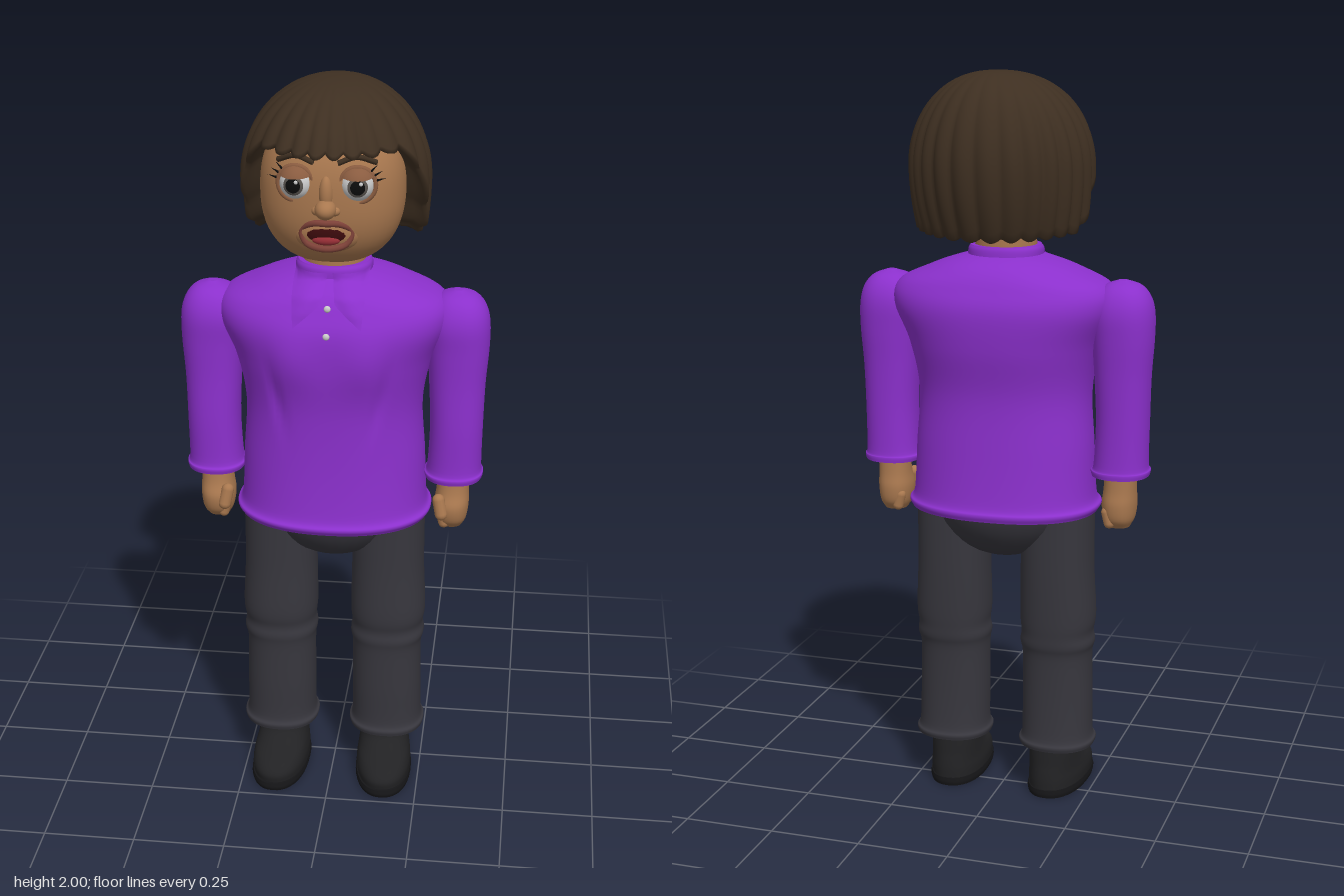
import * as THREE from 'three';

const C = {
  skin: 0xa9784f, skinDark: 0x8a5c40, shirt: 0x8b30cc, trousers: 0x37363d, shoe: 0x222224, sole: 0x151517,
  hair: 0x3e2f21, lip: 0x7d4138, mouth: 0x3a0a0c, tongue: 0x9c3038, white: 0xf0f0ee, iris: 0x5a5550, black: 0x0c0c0c,
};
const mats = {};
const mat = (k) => (mats[k] ??= new THREE.MeshStandardMaterial({ color: C[k], side: THREE.DoubleSide }));

function add(parent, name, geo, color, pos = [0, 0, 0], scale = [1, 1, 1], rot = [0, 0, 0]) {
  const m = new THREE.Mesh(geo, mat(color));
  m.name = name;
  m.position.set(...pos);
  m.scale.set(...scale);
  m.rotation.set(...rot);
  parent.add(m);
  return m;
}

// Skins a stack of closed rings (listed bottom to top)
function skinRings(rings) {
  const n = rings[0].length, idx = [];
  for (let j = 0; j < rings.length - 1; j++)
    for (let i = 0; i < n; i++) {
      const k = (i + 1) % n, a = j * n + i, b = j * n + k, c = a + n, d = b + n;
      idx.push(a, b, d, a, d, c);
    }
  const g = new THREE.BufferGeometry().setFromPoints(rings.flat());
  g.setIndex(idx);
  g.computeVertexNormals();
  return g;
}

const P = 2.25; // roundness of the oval cross-sections
const pw = (v, e) => Math.sign(v) * Math.abs(v) ** e;

// Smooth loft through rows [y, half width, front z, back z, centre x]
function loft(rows, { sx = 1, n = 40, per = 5, warp } = {}) {
  const A = new THREE.CatmullRomCurve3(rows.map((r) => new THREE.Vector3(r[0], r[1], r[4] ?? 0)), false, 'catmullrom');
  const B = new THREE.CatmullRomCurve3(rows.map((r) => new THREE.Vector3(r[2], r[3], 0)), false, 'catmullrom');
  const steps = (rows.length - 1) * per, rings = [];
  for (let j = 0; j <= steps; j++) {
    const a = A.getPoint(j / steps), b = B.getPoint(j / steps), ring = [];
    for (let i = 0; i < n; i++) {
      const t = (i / n) * Math.PI * 2;
      const p = new THREE.Vector3(
        a.z * sx + a.y * pw(Math.sin(t), 2 / P), a.x, (b.x + b.y) / 2 + ((b.x - b.y) / 2) * pw(Math.cos(t), 2 / P));
      if (warp) warp(p);
      ring.push(p);
    }
    rings.push(ring);
  }
  const cap = (ring, r) => {
    const c = new THREE.Vector3((r[4] ?? 0) * sx, ring[0].y, (r[2] + r[3]) / 2);
    return [ring.map(() => c.clone()), ring.map((p) => p.clone())];
  };
  const [c0, r0] = cap(rings[0], rows[0]), [c1, r1] = cap(rings.at(-1), rows.at(-1));
  return skinRings([c0, r0, ...rings, r1, c1]);
}

// Front z of a lofted part at x, y
function frontZ(rows, x, y) {
  let k = 0;
  while (k < rows.length - 2 && rows[k + 1][0] < y) k++;
  const t = THREE.MathUtils.clamp((y - rows[k][0]) / (rows[k + 1][0] - rows[k][0]), 0, 1);
  const [, rx, zf, zb] = rows[k].map((v, i) => v + (rows[k + 1][i] - v) * t);
  return (zf + zb) / 2 + ((zf - zb) / 2) * Math.max(0, 1 - Math.abs(x / rx) ** P) ** (1 / P);
}

const SHIRT = [
  [0.82, 0.258, 0.212, -0.182], [0.838, 0.266, 0.22, -0.187], [0.865, 0.252, 0.206, -0.176], [1.0, 0.245, 0.196, -0.165],
  [1.15, 0.237, 0.197, -0.16], [1.28, 0.262, 0.212, -0.182], [1.38, 0.305, 0.212, -0.187], [1.44, 0.292, 0.19, -0.166],
  [1.48, 0.212, 0.165, -0.14], [1.505, 0.145, 0.128, -0.105], [1.525, 0.07, 0.09, -0.05]];
const COLLAR = [[1.48, 0.115, 0.125, -0.085], [1.5, 0.102, 0.118, -0.078], [1.53, 0.1, 0.116, -0.075], [1.542, 0.094, 0.11, -0.07]];
const SLEEVE = [
  [0.93, 0.077, 0.1, -0.065, 0.325], [0.944, 0.08, 0.102, -0.066, 0.325], [0.962, 0.073, 0.094, -0.062, 0.326],
  [1.08, 0.071, 0.096, -0.062, 0.329], [1.2, 0.075, 0.094, -0.066, 0.328], [1.3, 0.082, 0.097, -0.073, 0.328],
  [1.37, 0.085, 0.1, -0.075, 0.325], [1.415, 0.074, 0.088, -0.063, 0.325], [1.445, 0.05, 0.063, -0.038, 0.325],
  [1.46, 0.012, 0.024, 0.0, 0.325]];
const LEG = [
  [0.138, 0.104, 0.126, -0.083, 0.152], [0.152, 0.107, 0.128, -0.086, 0.152], [0.172, 0.098, 0.117, -0.076, 0.152],
  [0.28, 0.097, 0.118, -0.07, 0.151], [0.4, 0.096, 0.118, -0.07, 0.15], [0.44, 0.103, 0.122, -0.078, 0.151],
  [0.47, 0.099, 0.118, -0.08, 0.151], [0.52, 0.104, 0.125, -0.083, 0.152], [0.66, 0.1, 0.12, -0.086, 0.15],
  [0.86, 0.1, 0.12, -0.086, 0.15]];
const SHOE = [
  [0.018, 0.075, 0.222, -0.08], [0.045, 0.077, 0.224, -0.08], [0.068, 0.074, 0.2, -0.078], [0.09, 0.07, 0.145, -0.075],
  [0.118, 0.067, 0.105, -0.073], [0.16, 0.066, 0.095, -0.07]];
const SOLE = [[0, 0.078, 0.23, -0.084], [0.01, 0.08, 0.233, -0.086], [0.022, 0.078, 0.23, -0.084]];
const HAND = [
  [0.785, 0.03, 0.055, -0.015, 0.322], [0.81, 0.042, 0.078, -0.035, 0.322], [0.85, 0.047, 0.085, -0.04, 0.322],
  [0.89, 0.044, 0.07, -0.034, 0.324], [0.95, 0.042, 0.06, -0.03, 0.326]];

// Bust and pleats of the shirt
function shapeShirt(p) {
  if (p.z < 0.03) return;
  const ax = Math.abs(p.x);
  const bust = Math.exp(-(((ax - 0.1) / 0.06) ** 2) - ((p.y - 1.31) / 0.08) ** 2);
  const pleat = Math.exp(-(((ax - 0.135 - (p.y - 1.2) * 0.2) / 0.014) ** 2) - ((p.y - 1.2) / 0.09) ** 2);
  p.z += 0.012 * bust - 0.01 * pleat;
}

function collarFlap(s) {
  const v = (x, y) => new THREE.Vector2(x, y);
  const [a, b, c, d] = [v(0.006, 1.53), v(0.098, 1.53), v(0.088, 1.405), v(0.018, 1.465)];
  const g = new THREE.PlaneGeometry(1, 1, 8, 10), pos = g.attributes.position;
  for (let i = 0; i < pos.count; i++) {
    const u = pos.getX(i) + 0.5, w = 0.5 - pos.getY(i);
    const q = a.clone().lerp(b, u).lerp(d.clone().lerp(c, u), w);
    const puff = 0.007 + 0.012 * Math.sin(Math.PI * u) * Math.sin(Math.PI * (0.2 + 0.8 * w));
    pos.setXYZ(i, s * q.x, q.y, Math.max(frontZ(SHIRT, q.x, q.y), frontZ(COLLAR, q.x, q.y)) + puff);
  }
  g.computeVertexNormals();
  return g;
}

// Bob of ridged locks: high fringe in front, long at the sides and back
function bobHair() {
  const n = 208, rows = 26, rings = [];
  const point = (i, v, inset, lift) => {
    const a = (i / n) * Math.PI * 2, c = Math.cos(a);
    const lock = Math.abs(Math.sin(13 * a + 0.7 * Math.sin(3 * a) + 0.5 * (1 - v)));
    const fringe = THREE.MathUtils.smoothstep(c, -0.25, 0.65);
    const rim = 1.605 + 0.265 * fringe - 0.02 * Math.max(0, -c) - 0.012 * lock;
    const end = rim > 1.75 ? Math.acos((rim - 1.75) / 0.25) : Math.PI / 2 + (1.75 - rim) / 0.25;
    const th = end * v, k = Math.max(0, th - Math.PI / 2);
    const y = k > 0 ? 1.75 - 0.25 * k : 1.75 + 0.25 * Math.cos(th);
    let r = k > 0 ? 1 - (0.12 + 0.22 * Math.max(0, -c)) * k * k : Math.sin(th) ** 0.88;
    r *= (1 + 0.05 * (lock - 0.45) * Math.min(1, v * 1.6)) * inset;
    const rz = c > 0 ? 0.235 + 0.04 * c : 0.232;
    return new THREE.Vector3(0.24 * r * Math.sin(a), y + lift, -0.015 - 0.05 * (1 - v) ** 2 + rz * r * c);
  };
  const ring = (v, inset = 1, lift = 0) => rings.push(Array.from({ length: n }, (_, i) => point(i, v, inset, lift)));
  ring(1, 0.3, 0.03);
  ring(1, 0.85, 0.012);
  ring(1, 0.95, -0.003);
  for (let j = rows; j >= 0; j--) ring(j / rows);
  return skinRings(rings);
}

function headGeometry() {
  const g = new THREE.SphereGeometry(1, 48, 36), pos = g.attributes.position, p = new THREE.Vector3();
  for (let i = 0; i < pos.count; i++) {
    p.fromBufferAttribute(pos, i);
    p.divideScalar((Math.abs(p.x) ** 2.4 + Math.abs(p.y) ** 2.4 + Math.abs(p.z) ** 2.4) ** (1 / 2.4));
    pos.setXYZ(i, p.x * 0.185, 1.742 + p.y * 0.195, 0.045 + p.z * 0.168);
  }
  g.computeVertexNormals();
  return g;
}

const ball = () => new THREE.SphereGeometry(1, 28, 20);
const tube = (pts, r, closed = false) =>
  new THREE.TubeGeometry(new THREE.CatmullRomCurve3(pts.map((p) => new THREE.Vector3(...p)), closed), 32, r, 8, closed);

function buildFace(head) {
  add(head, 'noseTip', ball(), 'skin', [0, 1.728, 0.218], [0.027, 0.025, 0.034]);
  add(head, 'noseBridge', ball(), 'skin', [0, 1.765, 0.205], [0.018, 0.045, 0.022]);
  add(head, 'muzzle', ball(), 'skin', [0, 1.662, 0.165], [0.095, 0.06, 0.048]);
  // Open mouth
  const lips = [[0, 1.69], [0.035, 1.688], [0.062, 1.668], [0.05, 1.635], [0, 1.624], [-0.05, 1.635], [-0.062, 1.668], [-0.035, 1.688]];
  add(head, 'lips', tube(lips.map(([x, y]) => [x, y, 0.212 - x * x * 5]), 0.009, true), 'lip');
  add(head, 'mouthOpening', ball(), 'mouth', [0, 1.66, 0.197], [0.057, 0.03, 0.017]);
  add(head, 'tongue', ball(), 'tongue', [0, 1.646, 0.205], [0.036, 0.014, 0.012]);
  for (const s of [1, -1]) {
    add(head, 'nostril', ball(), 'skin', [s * 0.022, 1.722, 0.205], [0.015, 0.013, 0.018]);
    const eye = new THREE.Group();
    eye.name = 'eye';
    eye.position.set(s * 0.075, 1.787, 0.182);
    eye.rotation.y = s * 0.12;
    head.add(eye);
    const cap = (r, angle) => new THREE.SphereGeometry(r, 28, 8, 0, Math.PI * 2, 0, angle).rotateX(Math.PI / 2);
    add(eye, 'eyeball', new THREE.SphereGeometry(0.044, 28, 20), 'white');
    add(eye, 'iris', cap(0.0447, 0.6), 'iris');
    add(eye, 'pupil', cap(0.0453, 0.42), 'black');
    add(eye, 'eyeGlint', ball(), 'white', [0.008, 0.01, 0.0435], [0.005, 0.005, 0.003]);
    add(eye, 'eyeRim', new THREE.TorusGeometry(0.044, 0.007, 10, 36), 'skinDark', [0, 0, 0.014]);
    add(eye, 'upperLid', new THREE.SphereGeometry(0.049, 28, 10, 0, Math.PI * 2, 0, 1.05), 'skinDark', [0, 0, 0], [1, 1, 1], [0.15, 0, 0]);
    for (let i = 0; i < 3; i++) {
      const a = 0.25 + i * 0.28;
      add(eye, 'eyelash', new THREE.ConeGeometry(0.004, 0.03, 6), 'black',
        [s * 0.058 * Math.cos(a), 0.058 * Math.sin(a), 0.016], [1, 1, 1], [0, 0, s * (a - Math.PI / 2)]);
    }
    add(head, 'eyebrow', tube([[s * 0.03, 1.846, 0.216], [s * 0.075, 1.86, 0.206], [s * 0.122, 1.842, 0.182]], 0.007), 'hair');
  }
}

export function createModel() {
  const model = new THREE.Group();
  model.name = 'standingFigure';

  const head = new THREE.Group();
  head.name = 'head';
  model.add(head);
  add(head, 'skull', headGeometry(), 'skin');
  add(head, 'hair', bobHair(), 'hair');
  add(head, 'neck', new THREE.CylinderGeometry(0.082, 0.085, 0.12, 32), 'skin', [0, 1.53, 0.02]);
  buildFace(head);

  add(model, 'shirt', loft(SHIRT, { n: 96, per: 7, warp: shapeShirt }), 'shirt');
  add(model, 'collar', loft(COLLAR), 'shirt');
  for (const y of [1.455, 1.39])
    add(model, 'button', ball(), 'white', [0, y, frontZ(SHIRT, 0, y) + 0.006], [0.009, 0.009, 0.006]);
  add(model, 'hips', ball(), 'trousers', [0, 0.86, 0.01], [0.2, 0.18, 0.17]);

  for (const s of [1, -1]) {
    add(model, 'collarFlap', collarFlap(s), 'shirt');
    add(model, 'sleeve', loft(SLEEVE, { sx: s }), 'shirt');
    add(model, 'trouserLeg', loft(LEG, { sx: s }), 'trousers');

    const hand = new THREE.Group();
    hand.name = 'hand';
    model.add(hand);
    add(hand, 'palm', loft(HAND, { sx: s, n: 28 }), 'skin');
    for (let i = 0; i < 4; i++)
      add(hand, 'finger', new THREE.CapsuleGeometry(0.015, 0.03, 6, 12), 'skin', [s * 0.3, 0.815, -0.02 + i * 0.026], [1, 1, 1], [0, 0, s * 0.25]);
    add(hand, 'thumb', new THREE.CapsuleGeometry(0.017, 0.04, 6, 12), 'skin', [s * 0.293, 0.855, 0.077], [1, 1, 1], [-0.2, 0, s * 0.2]);

    const foot = new THREE.Group();
    foot.name = 'foot';
    foot.position.x = s * 0.145;
    foot.rotation.y = s * 0.05;
    model.add(foot);
    add(foot, 'shoe', loft(SHOE), 'shoe');
    add(foot, 'sole', loft(SOLE), 'sole');
  }
  return model;
}
